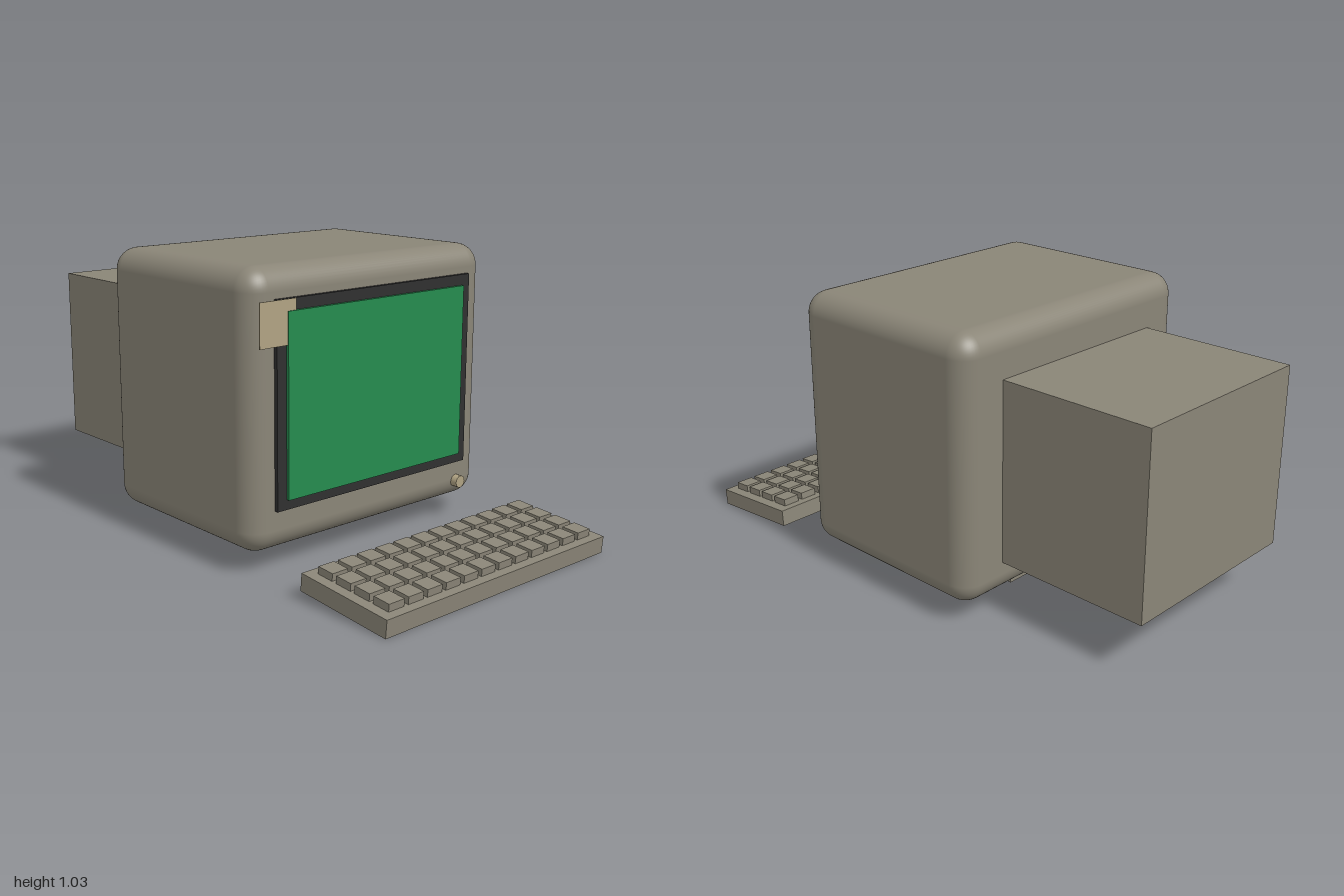
import * as THREE from 'three';
import { RoundedBoxGeometry } from 'three/addons/geometries/RoundedBoxGeometry.js';

function material(name, color) {
  const m = new THREE.MeshStandardMaterial({ color });
  m.name = name;
  return m;
}

export function createModel() {
  const model = new THREE.Group();
  model.name = 'desktopTerminal';

  const casing = material('casing grey', 0x8a8577);
  const dark = material('bezel black', 0x303030);
  const green = material('screen green', 0x258b4e);
  const tan = material('badge tan', 0xb0a383);

  function add(parent, name, geometry, mat, x, y, z) {
    const mesh = new THREE.Mesh(geometry, mat);
    mesh.name = name;
    mesh.position.set(x, y, z);
    parent.add(mesh);
    return mesh;
  }

  // Box given by its limits on each axis
  function box(name, mat, [x0, x1], [y0, y1], [z0, z1]) {
    const geometry = new THREE.BoxGeometry(x1 - x0, y1 - y0, z1 - z0);
    return add(model, name, geometry, mat, (x0 + x1) / 2, (y0 + y1) / 2, (z0 + z1) / 2);
  }

  // Monitor: rounded shell, rear tube housing and foot
  add(model, 'monitorShell', new RoundedBoxGeometry(1.115, 0.96, 0.81, 6, 0.08), casing, 0, 0.555, -0.007);
  box('rearHousing', casing, [-0.38, 0.38], [0.2, 0.86], [-1, -0.4]);
  box('foot', casing, [-0.228, 0.228], [0.02, 0.1], [-0.31, 0.2]);

  // Screen, bezel and badge plate
  box('bezel', dark, [-0.456, 0.456], [0.225, 0.932], [0.39, 0.413]);
  box('screen', green, [-0.417, 0.417], [0.26, 0.893], [0.41, 0.424]);
  box('badgePlate', tan, [-0.533, -0.38], [0.782, 0.932], [0.417, 0.42]);

  // Power knob
  const knob = new THREE.CylinderGeometry(0.023, 0.023, 0.045, 16).rotateX(Math.PI / 2);
  add(model, 'powerKnob', knob, tan, 0.43, 0.147, 0.402);

  // Keyboard, tilted up towards the monitor
  const keyboard = new THREE.Group();
  keyboard.name = 'keyboard';
  keyboard.position.set(0, 0.05, 0.807);
  keyboard.rotation.x = 0.08;
  model.add(keyboard);
  add(keyboard, 'keyboardBase', new THREE.BoxGeometry(1.065, 0.062, 0.382), casing, 0, 0, 0);

  // Four rows of twelve keys
  const keyGeometry = new THREE.BoxGeometry(0.066, 0.03, 0.066);
  for (let row = 0; row < 4; row++) {
    for (let col = 0; col < 12; col++) {
      add(keyboard, 'key', keyGeometry, casing, (col - 5.5) * 0.0836, 0.042, (row - 1.5) * 0.083);
    }
  }

  return model;
}
